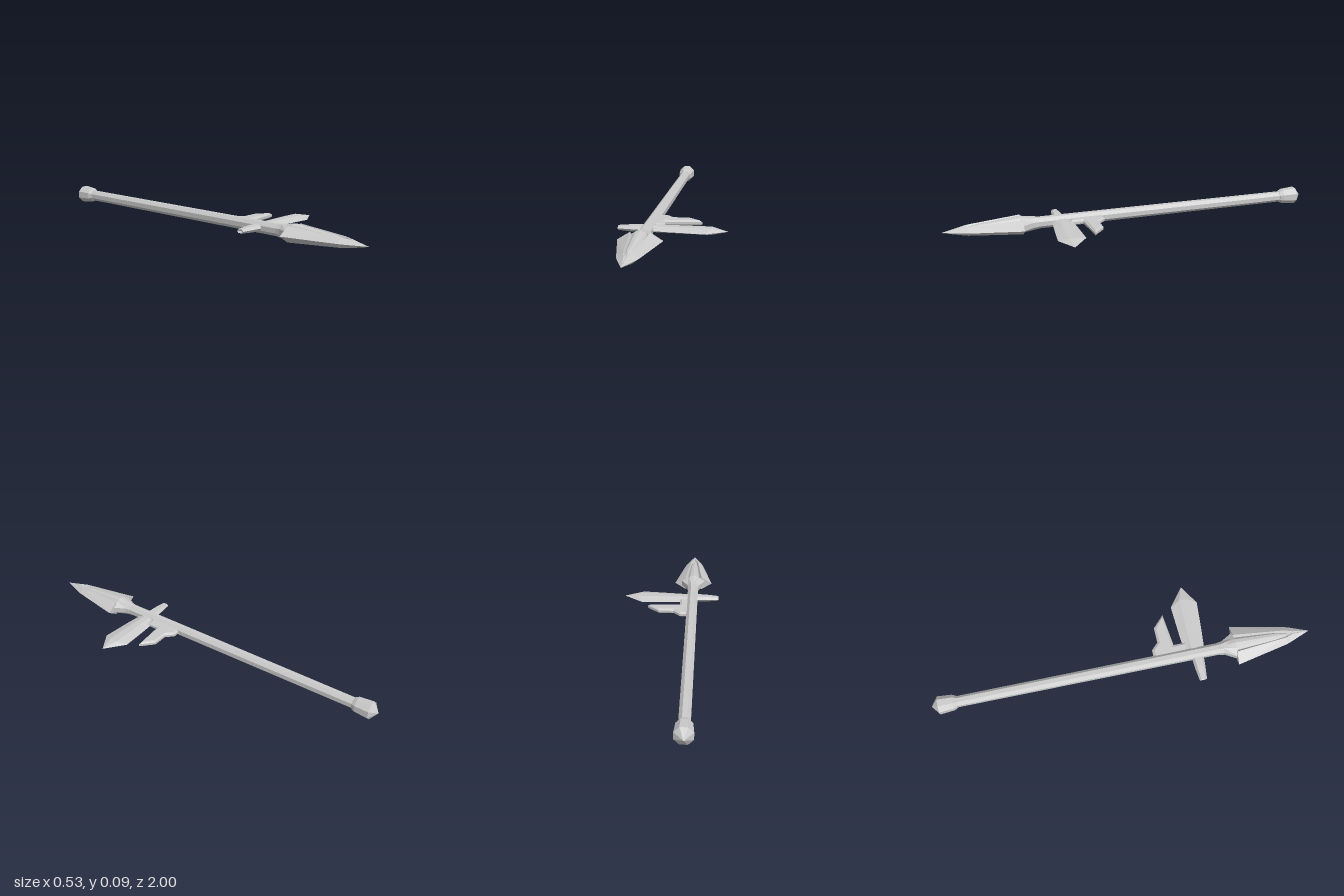
import * as THREE from 'three';

const X = -0.12, Y = 0.047; // axis of the shaft

export function createModel() {
  const group = new THREE.Group();
  const material = new THREE.MeshStandardMaterial({ color: 0xcccccc, flatShading: true });

  const add = (name, geometry) => {
    const mesh = new THREE.Mesh(geometry, material);
    mesh.name = name;
    group.add(mesh);
  };

  // Skins closed loops of [x, y, z] points and caps both ends; faces always point outwards
  const loft = (loops) => {
    const tris = [];
    const n = loops[0].length;
    const centre = (loop) => [0, 1, 2].map((k) => loop.reduce((s, p) => s + p[k], 0) / n);
    const first = loops[0], last = loops[loops.length - 1];
    const c0 = centre(first), c1 = centre(last);
    for (let i = 0; i < n; i++) {
      const j = (i + 1) % n;
      tris.push([c0, first[j], first[i]], [c1, last[i], last[j]]);
      for (let s = 0; s + 1 < loops.length; s++) {
        const a = loops[s], b = loops[s + 1];
        tris.push([a[i], a[j], b[j]], [a[i], b[j], b[i]]);
      }
    }
    const v = tris.map((t) => t.map((p) => new THREE.Vector3(...p)));
    const volume = v.reduce((sum, [a, b, c]) => sum + a.clone().sub(v[0][0])
      .dot(b.clone().sub(v[0][0]).cross(c.clone().sub(v[0][0]))), 0);
    if (volume < 0) v.forEach((t) => t.reverse());
    const geometry = new THREE.BufferGeometry().setFromPoints(v.flat());
    geometry.computeVertexNormals();
    return geometry;
  };

  // Octagon across the shaft, flat side up
  const ring = (z, rx, ry = rx) => Array.from({ length: 8 }, (_, i) => {
    const a = (i + 0.5) * Math.PI / 4, k = 1 / Math.cos(Math.PI / 8);
    return [X + rx * k * Math.cos(a), Y + ry * k * Math.sin(a), z];
  });

  // Flattened hexagon across a side blade: edges at zA and zB, flat faces between
  const bladeSection = (x, zA, zB, h, ridgeX = x, inset = 0.35) => {
    const w = (zB - zA) * inset;
    return [[x, Y, zA], [ridgeX, Y + h, zA + w], [ridgeX, Y + h, zB - w],
      [x, Y, zB], [ridgeX, Y - h, zB - w], [ridgeX, Y - h, zA + w]];
  };

  add('shaft', loft([ring(-0.9, 0.027), ring(0.54, 0.029)]));
  add('pommel', loft([ring(-0.87, 0.029), ring(-0.89, 0.038), ring(-0.965, 0.044), ring(-1, 0.001)]));

  // Spearhead: flared neck, central spike and two wing blades
  add('neck', loft([ring(0.51, 0.03), ring(0.535, 0.034, 0.033), ring(0.6, 0.07, 0.036)]));
  const coreSection = (z, w, h) => [[w, 0], [w, h * 0.6], [w * 0.6, h * 0.9], [0, h], [-w * 0.6, h * 0.9], [-w, h * 0.6],
    [-w, 0], [-w, -h * 0.6], [-w * 0.6, -h * 0.9], [0, -h], [w * 0.6, -h * 0.9], [w, -h * 0.6]]
    .map(([x, y]) => [X + x, Y + y, z]);
  add('spearCore', loft([coreSection(0.53, 0.028, 0.03), coreSection(0.6, 0.034, 0.046),
    coreSection(0.82, 0.02, 0.026), coreSection(0.9, 0.002, 0.012)]));
  for (const side of [1, -1]) {
    const wing = (z, outer, ridge, h, inner, hInner) => [[outer, 0], [ridge, h], [inner, hInner], [0, hInner * 0.8],
      [0, -hInner * 0.8], [inner, -hInner], [ridge, -h]]
      .map(([x, y]) => [X + side * x, Y + y, z]);
    add(side > 0 ? 'leftWingBlade' : 'rightWingBlade', loft([
      wing(0.595, 0.107, 0.047, 0.038, 0.036, 0.02),
      wing(0.87, 0.05, 0.02, 0.023, 0.013, 0.012),
      wing(0.91, 0.036, 0.008, 0.019, 0.002, 0.018),
      wing(1, 0.0005, 0.0002, 0.0005, 0.0001, 0.0004)]));
  }

  // Broad pointed side blade
  add('sideBlade', loft([
    bladeSection(X, 0.335, 0.436, 0.015), bladeSection(0.0, 0.327, 0.449, 0.015),
    bladeSection(0.16, 0.32, 0.463, 0.015, 0.185), bladeSection(0.263, 0.4, 0.401, 0.0005)]));

  // Short notched spike on the opposite side
  const spikeEnd = bladeSection(-0.267, 0.373, 0.412, 0.009, -0.267, 0.2);
  add('backSpike', loft([
    bladeSection(X, 0.36, 0.428, 0.015, X, 0.2), bladeSection(-0.2, 0.365, 0.42, 0.014, -0.2, 0.2),
    spikeEnd, spikeEnd.map(() => [-0.255, Y, 0.392])]));

  // Hooked claw beside the broad blade, drawn in plan and extruded through its thickness
  const plan = [[-0.125, 0.168], [-0.056, 0.168], [-0.02, 0.205], [0.062, 0.205], [0.125, 0.265],
    [-0.052, 0.284], [-0.052, 0.35], [-0.125, 0.35]];
  const claw = new THREE.ExtrudeGeometry(new THREE.Shape(plan.map(([x, z]) => new THREE.Vector2(x, z))), {
    depth: 0.012, bevelEnabled: true, bevelSegments: 1, bevelThickness: 0.008, bevelSize: 0.012, bevelOffset: -0.012,
  });
  claw.translate(0, 0, -0.006).rotateX(Math.PI / 2).translate(0, Y, 0);
  add('claw', claw);

  return group;
}
